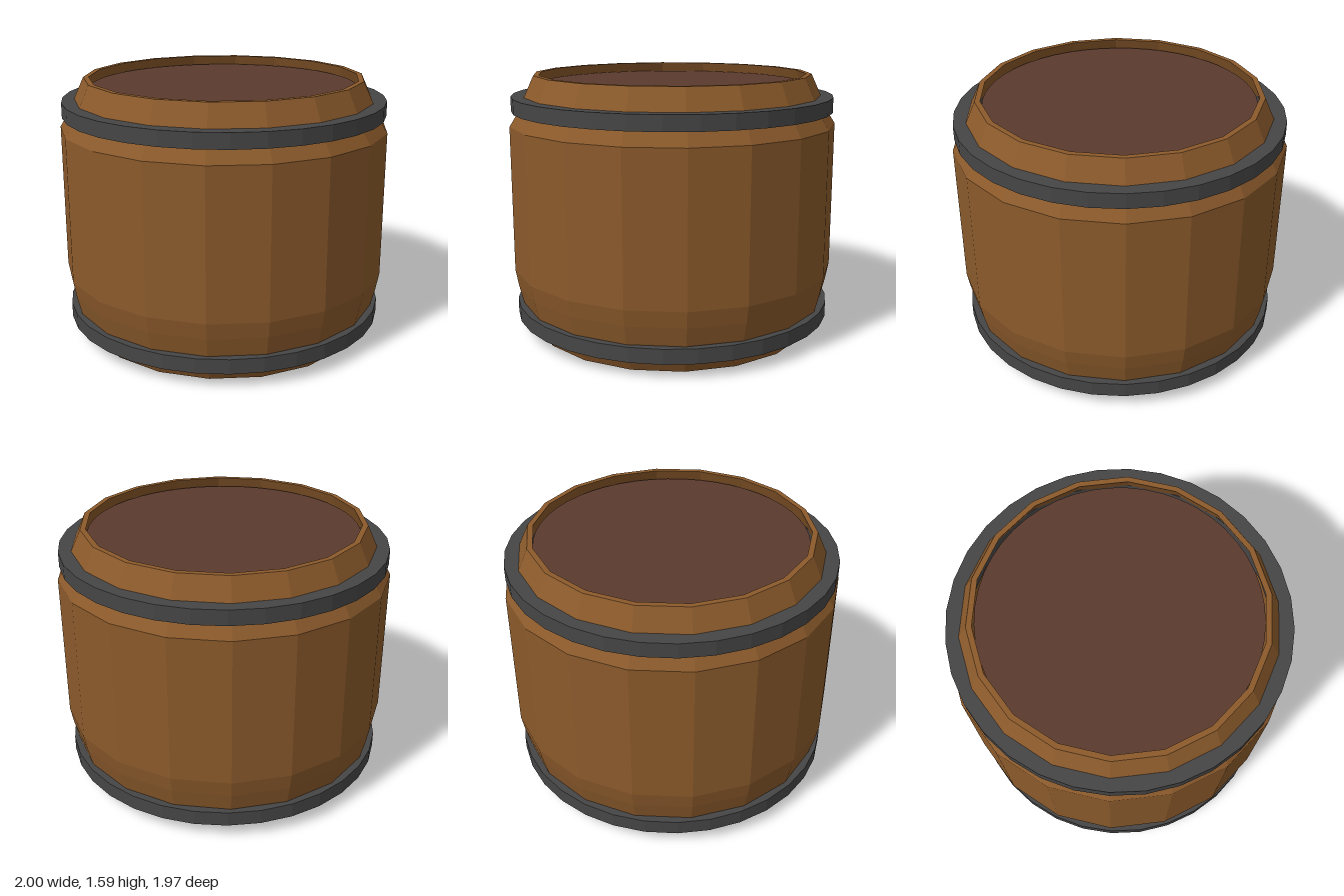
import * as THREE from 'three';

const rad = THREE.MathUtils.degToRad;

// Revolve a [radius, height] profile, listed counter-clockwise from the bottom
function revolve(profile, sides, start = 0, sweep = 360) {
  const points = profile.map(([r, y]) => new THREE.Vector2(r, y));
  return new THREE.LatheGeometry(points, sides, rad(start), rad(sweep));
}

export function createModel() {
  const wood = new THREE.MeshStandardMaterial({ name: 'oak wood', color: 0x8b5a2b, flatShading: true, side: THREE.DoubleSide });
  const darkWood = new THREE.MeshStandardMaterial({ name: 'dark wood', color: 0x5a3a2d, flatShading: true });
  const iron = new THREE.MeshStandardMaterial({ name: 'iron', color: 0x464646, flatShading: true });

  const barrel = new THREE.Group();
  barrel.name = 'barrel';
  function add(name, geometry, material, y = 0) {
    const mesh = new THREE.Mesh(geometry, material);
    mesh.name = name;
    mesh.position.y = y;
    barrel.add(mesh);
  }

  // Hollow stave wall: outer face going up, rim, inner face going down
  const profile = [
    [0.87, 0], [0.92, 0.1], [0.955, 0.19], [0.982, 0.3], [1, 0.4],
    [1, 1.29], [0.947, 1.375], [0.91, 1.46], [0.85, 1.59],
    [0.817, 1.59], [0.875, 1.455], [0.965, 1.28],
    [0.965, 0.41], [0.92, 0.2], [0.833, 0], [0.87, 0],
  ];
  // 18 staves, a touch too wide, so the last laps over the first at the back
  add('staves', revolve(profile, 18, 170, 361.7), wood);

  // Recessed round heads
  const head = new THREE.CylinderGeometry(0.812, 0.812, 0.04, 48);
  add('lid', head, darkWood, 1.513);
  add('base', head, darkWood, 0.082);

  // Iron hoops
  const hoop = revolve([[0.87, -0.045], [0.985, -0.045], [0.985, 0.045], [0.87, 0.045], [0.87, -0.045]], 32);
  add('lowerHoop', hoop, iron, 0.138);
  add('upperHoop', hoop, iron, 1.416);

  return barrel;
}
